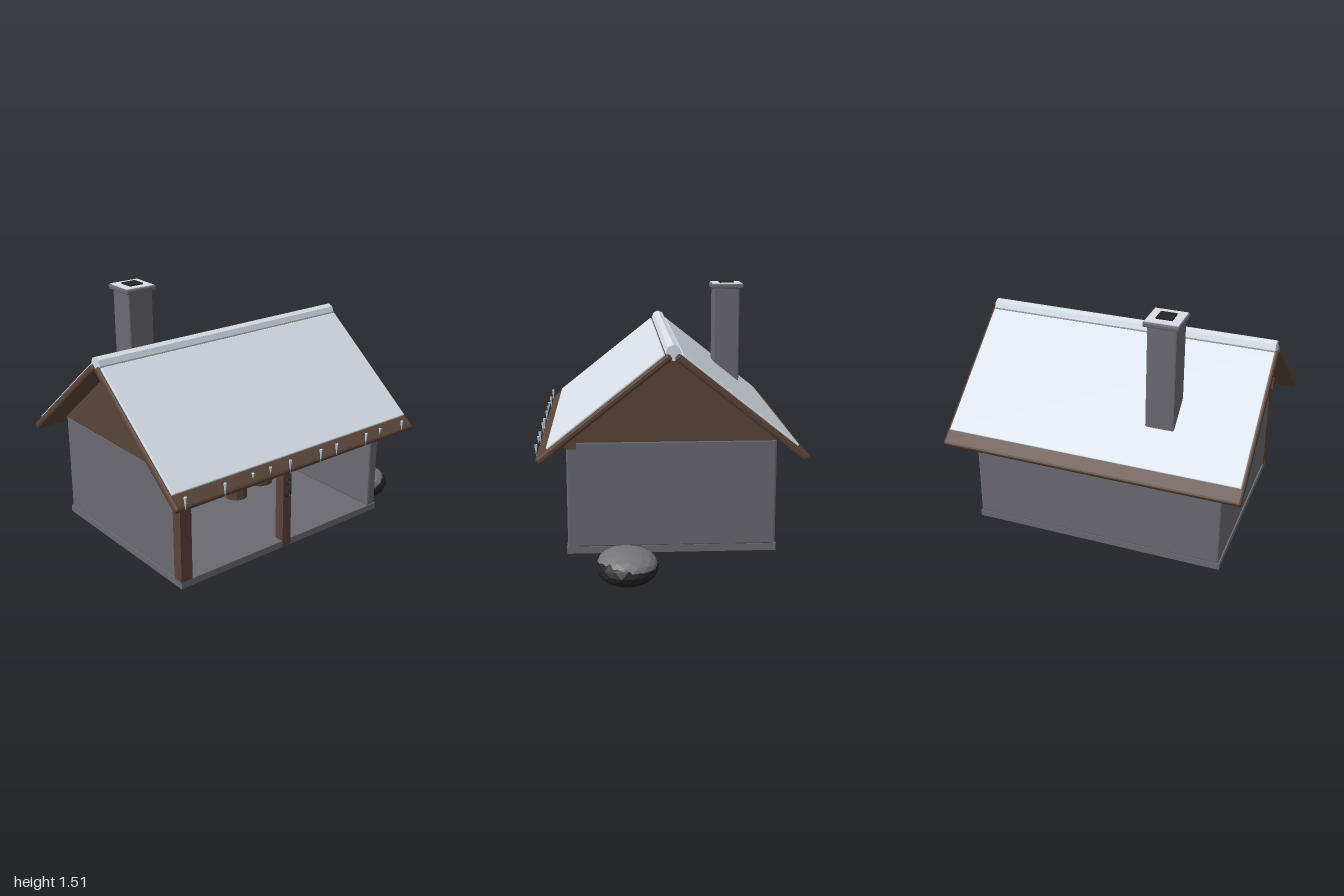
import * as THREE from 'three';
import { RoundedBoxGeometry } from 'three/addons/geometries/RoundedBoxGeometry.js';

const mat = (name, color, flatShading = false) => {
  const m = new THREE.MeshStandardMaterial({ color, flatShading });
  m.name = name;
  return m;
};

export function createModel() {
  const model = new THREE.Group();
  model.name = 'smithy';

  const stone = mat('stone', 0x6b6a72, true);
  const wood = mat('wood', 0x5a4439, true);
  const snow = mat('snow', 0xd6dde6, true);
  const iron = mat('iron', 0x242424, true);
  const ember = mat('embers', 0x6e4128, true);
  const ice = mat('ice', 0xc4d6e2, true);
  const ash = mat('ash', 0x77767c, true);

  const add = (name, geometry, material, x, y, z, parent = model) => {
    const mesh = new THREE.Mesh(geometry, material);
    mesh.name = name;
    mesh.position.set(x, y, z);
    parent.add(mesh);
    return mesh;
  };
  // Box given by its minimum and maximum corners, with an optional bevel
  const box = (name, material, [x0, y0, z0], [x1, y1, z1], bevel = 0) => {
    const w = x1 - x0, h = y1 - y0, d = z1 - z0;
    const geo = bevel ? new RoundedBoxGeometry(w, h, d, 1, bevel) : new THREE.BoxGeometry(w, h, d);
    return add(name, geo, material, (x0 + x1) / 2, (y0 + y1) / 2, (z0 + z1) / 2);
  };

  const midX = -0.132;

  // Floor and three walls, open at the front
  box('floor', stone, [-0.872, 0.1, -0.58], [0.608, 0.14, 0.58]);
  box('backWall', stone, [-0.865, 0.135, -0.577], [0.602, 0.735, -0.52], 0.01);
  box('rightWall', stone, [-0.865, 0.135, -0.575], [-0.805, 0.735, 0.575], 0.01);
  box('leftWall', stone, [0.54, 0.135, -0.575], [0.605, 0.735, 0.575], 0.01);

  // Gables
  const triangle = new THREE.Shape([
    new THREE.Vector2(-0.578, 0.73), new THREE.Vector2(0.578, 0.73), new THREE.Vector2(0, 1.195),
  ]);
  for (const s of [-1, 1]) {
    const geo = new THREE.ExtrudeGeometry(triangle, { depth: 0.05, bevelEnabled: false });
    geo.translate(0, 0, -0.025).rotateY(Math.PI / 2);
    add('gable', geo, wood, midX + s * 0.71, 0, 0);
  }

  // Timber posts and front beam
  box('cornerPost', wood, [-0.872, 0.14, 0.515], [-0.8, 0.72, 0.58]);
  box('middlePost', wood, [-0.162, 0.1, 0.52], [-0.102, 0.72, 0.583]);
  box('frontBeam', wood, [-0.89, 0.7, 0.52], [0.626, 0.765, 0.58]);

  // Iron rings on the middle post
  for (let i = 0; i < 3; i++) {
    add('hangingRing', new THREE.TorusGeometry(0.018, 0.003, 6, 16), iron, midX, 0.587 - i * 0.075, 0.589);
  }

  // Roof slopes with snow sheets
  const pitch = 0.671;
  for (const s of [-1, 1]) {
    const slope = new THREE.Group();
    slope.name = s > 0 ? 'frontRoof' : 'backRoof';
    slope.position.set(midX, 0.935, s * 0.37);
    slope.rotation.x = s * pitch;
    model.add(slope);
    add('roofBoards', new RoundedBoxGeometry(1.735, 0.04, 0.905, 1, 0.012), wood, 0, 0, 0, slope);
    add('snowSheet', new RoundedBoxGeometry(1.7, 0.016, 0.8, 1, 0.005), snow, 0, 0.023, -s * 0.033, slope);
  }
  const ridge = add('ridgeSnow', new THREE.CylinderGeometry(0.043, 0.043, 1.7, 8), snow, midX, 1.232, 0);
  ridge.rotation.z = Math.PI / 2;

  // Icicles along the front eave
  [-0.945, -0.695, -0.51, -0.39, -0.25, -0.025, 0.095, 0.33, 0.445, 0.63].forEach((x, i) => {
    const length = [0.08, 0.08, 0.035, 0.04, 0.075, 0.085, 0.07, 0.08, 0.04, 0.065][i];
    const icicle = add('icicle', new THREE.ConeGeometry(0.009, length, 6), ice, x, 0.73 - length / 2, 0.733);
    icicle.rotation.x = Math.PI;
  });

  // Chimney
  box('chimney', stone, [-0.555, 0.68, -0.49], [-0.391, 1.48, -0.325], 0.008);
  box('chimneyCap', stone, [-0.572, 1.475, -0.512], [-0.372, 1.503, -0.31], 0.007);
  box('chimneySnow', snow, [-0.564, 1.5, -0.504], [-0.38, 1.507, -0.318]);
  box('flue', iron, [-0.517, 1.49, -0.456], [-0.427, 1.515, -0.366]);

  // Forge: hearth, coals, hood and bellows
  box('hearth', stone, [-0.662, 0.14, -0.52], [-0.285, 0.33, -0.25], 0.012);
  const coals = add('coals', new THREE.SphereGeometry(1, 12, 8), ember, -0.473, 0.325, -0.385);
  coals.scale.set(0.13, 0.036, 0.09);
  box('hood', stone, [-0.598, 0.44, -0.52], [-0.35, 0.74, -0.29], 0.01);
  const bellows = add('bellows', new THREE.BoxGeometry(0.19, 0.085, 0.14), wood, -0.75, 0.312, -0.385);
  bellows.rotation.z = -0.28;

  // Anvil on its stump
  add('stump', new THREE.CylinderGeometry(0.072, 0.072, 0.135, 10), wood, -0.004, 0.207, -0.04);
  box('anvil', iron, [-0.078, 0.272, -0.075], [0.068, 0.32, -0.005], 0.008);
  const horn = add('anvilHorn', new THREE.ConeGeometry(0.022, 0.075, 8), iron, 0.1, 0.296, -0.04);
  horn.rotation.z = -Math.PI / 2;

  // Quenching barrel
  add('barrel', new THREE.CylinderGeometry(0.092, 0.092, 0.14, 12), wood, 0.25, 0.21, -0.12);

  // Tool rack on the back wall
  box('toolBoard', wood, [-0.022, 0.36, -0.53], [0.44, 0.608, -0.5]);
  for (let i = 0; i < 6; i++) {
    const tool = add('tool', new THREE.BoxGeometry(0.013, 0.145, 0.013), iron, 0.04 + i * 0.0685, 0.47, -0.493);
    tool.rotation.z = 0.27 - i * 0.108;
  }

  // Coal heap with an ash covered top
  const heap = add('coalHeap', new THREE.IcosahedronGeometry(1, 2), iron, 0.805, 0.097, 0.25);
  heap.scale.set(0.195, 0.093, 0.168);
  const top = add('heapTop', new THREE.IcosahedronGeometry(1, 2), ash, 0.805, 0.122, 0.25);
  top.scale.set(0.185, 0.07, 0.159);
  top.rotation.y = 0.3;

  return model;
}
